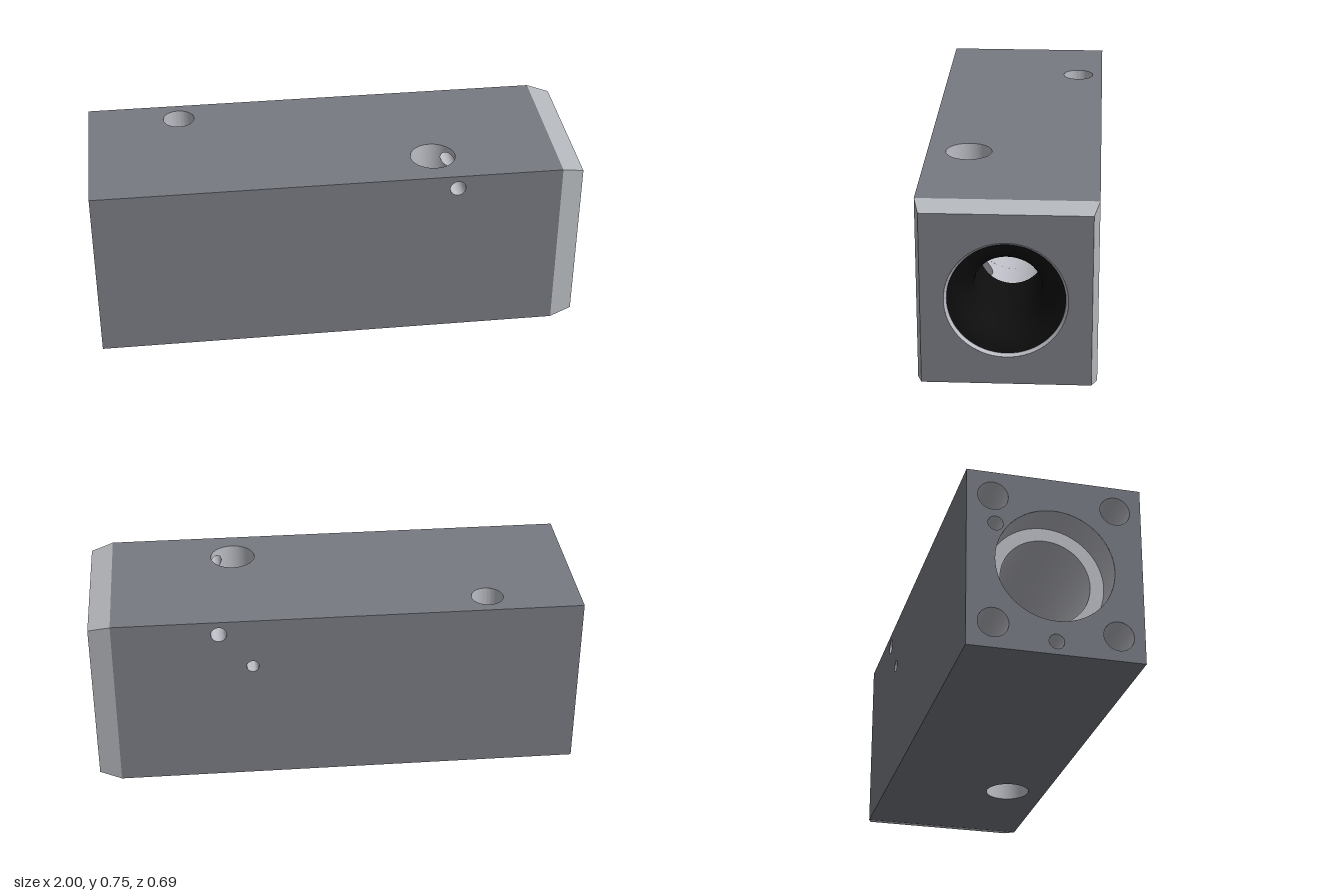
import * as THREE from 'three';
import { toCreasedNormals } from 'three/addons/utils/BufferGeometryUtils.js';

const H = 0.745, C = H / 2, Z = 0.347, XC = 0.91;   // height, bore axis height, half depth, chamfer start
const BORE = 0.18;                                  // main bore radius
const V = { x: 0.402, z: 0.18, r: 0.092 };          // vertical cross hole
const P = { x: 0.48, y: 0.688, r: 0.032 };          // horizontal pin hole
const T = { x: -0.62, z: -0.24, r: 0.065 };         // stepped top hole
const S = { x: 0.347, y: 0.53, r: 0.025 };          // small rear hole
const Q = Math.PI / 2;
const half = (r, d) => Math.sqrt(Math.max(0, r * r - d * d));

export function createModel() {
  const group = new THREE.Group();
  const paint = (color, flatShading = false) =>
    new THREE.MeshStandardMaterial({ color, side: THREE.DoubleSide, flatShading });
  const body = paint(0x777a82);
  const machined = paint(0xbcbdc5);
  const facet = paint(0xb5b8bc, true);
  const black = paint(0x0e0e0e);

  const add = (name, geo, mat) => {
    const mesh = new THREE.Mesh(geo, mat);
    mesh.name = name;
    group.add(mesh);
  };

  // flat rectangle with round holes [u, v, r]
  const plate = (u0, u1, v0, v1, holes) => {
    const s = new THREE.Shape([[u0, v0], [u1, v0], [u1, v1], [u0, v1]].map(p => new THREE.Vector2(...p)));
    for (const [u, v, r] of holes) s.holes.push(new THREE.Path().absarc(u, v, r, 0, Math.PI * 2, true));
    return new THREE.ShapeGeometry(s, 48);
  };

  // turned surface, profile [radius, depth] running down from the mouth
  const turned = (profile) => toCreasedNormals(
    new THREE.LatheGeometry(profile.map(([r, d]) => new THREE.Vector2(r, -d)), 64), 0.5);

  // tube whose two ends follow rules, so crossing holes meet cleanly
  const clippedTube = (r, lo, hi) => {
    const geo = new THREE.CylinderGeometry(r, r, 1, 96, 1, true);
    const p = geo.attributes.position;
    for (let i = 0; i < p.count; i++) {
      p.setY(i, (p.getY(i) > 0 ? hi : lo)(p.getX(i), p.getZ(i)));
    }
    return geo;
  };

  // outer faces
  const ends = [];
  for (const sy of [-1, 1]) for (const sz of [-1, 1]) ends.push([sz * 0.243, C + sy * 0.269]);
  const dowels = [[-0.233, 0.523], [0, 0.053]];

  add('frontFace', plate(-1, XC, 0, H, [[P.x, P.y, P.r]]).translate(0, 0, Z), body);
  add('backFace', plate(-XC, 1, 0, H, [[-P.x, P.y, P.r], [-S.x, S.y, S.r]])
    .rotateY(Math.PI).translate(0, 0, -Z), body);
  add('topFace', plate(-1, XC, -Z, Z, [[V.x, -V.z, V.r], [T.x, -T.z, T.r]])
    .rotateX(-Q).translate(0, H, 0), body);
  add('bottomFace', plate(-1, XC, -Z, Z, [[V.x, V.z, V.r]]).rotateX(Q), body);
  add('boltEndFace', plate(-Z, Z, 0, H, [
    [0, C, 0.235],
    ...ends.map(([z, y]) => [z, y, 0.06]),
    ...dowels.map(([z, y]) => [z, y, 0.03]),
  ]).rotateY(-Q).translate(-1, 0, 0), body);
  const k = 0.936;
  add('linerEndFace', plate(-Z * k, Z * k, C - C * k, C + C * k, [[0, C, 0.235]])
    .rotateY(Q).translate(1, 0, 0), body);

  // chamfered frame around the liner end
  const R4 = Math.SQRT1_2;
  add('endChamfer', new THREE.CylinderGeometry(R4 * k, R4, 1 - XC, 4, 1, true, Math.PI / 4)
    .rotateZ(-Q).scale(1, H, 2 * Z).translate((1 + XC) / 2, C, 0), facet);

  // main bore, left open where the vertical hole breaks in
  const xa = V.x - V.r, xb = V.x + V.r;
  add('boltEndBore', turned([[0.235, 0], [0.235, 0.14], [BORE, 0.14], [BORE, 1 + xa]])
    .rotateZ(Q).translate(-1, C, 0), machined);
  add('linerEndBore', turned([[0.235, 0], [0.225, 0.012], [0.225, 0.45], [BORE, 0.45], [BORE, 1 - xb]])
    .rotateZ(-Q).translate(1, C, 0), machined);
  const strips = new THREE.PlaneGeometry(1, 1, 64, 32);
  const sp = strips.attributes.position;
  for (let i = 0; i < sp.count; i++) {
    const dx = -V.r * Math.cos((sp.getY(i) + 0.5) * Math.PI);
    const gap = Math.acos(Math.min(1, (V.z - half(V.r, dx)) / BORE));
    const a = gap + (sp.getX(i) + 0.5) * (Math.PI * 2 - 2 * gap);
    sp.setXYZ(i, V.x + dx, C + BORE * Math.sin(a), BORE * Math.cos(a));
  }
  strips.computeVertexNormals();
  add('middleBore', strips, machined);

  // vertical cross hole, cut by the bore and the pin hole
  const pinHalf = x => half(P.r, V.x + x - P.x);
  const boreHalf = z => half(BORE, V.z + z);
  [
    [x => P.y + pinHalf(x), () => H],
    [(x, z) => C + boreHalf(z), x => P.y - pinHalf(x)],
    [() => 0, (x, z) => C - boreHalf(z)],
  ].forEach(([lo, hi]) => add('crossHole', clippedTube(V.r, lo, hi).translate(V.x, 0, V.z), machined));

  // horizontal pin hole, cut by the cross hole
  const crossHalf = x => half(V.r, P.x + x - V.x);
  [
    [x => V.z + crossHalf(x), () => Z],
    [() => -Z, x => V.z - crossHalf(x)],
  ].forEach(([lo, hi]) => add('pinHole', clippedTube(P.r, lo, hi).rotateX(Q).translate(P.x, P.y, 0), machined));

  // blind holes
  const blind = (r, d) => turned([[r, 0], [r, d], [0, d + r * 0.5]]);
  add('topPort', turned([[T.r, 0], [T.r, 0.09], [0.033, 0.1], [0.033, 0.16], [0, 0.175]])
    .translate(T.x, H, T.z), machined);
  add('rearHole', blind(S.r, 0.1).rotateX(-Q).translate(S.x, S.y, -Z), machined);
  for (const [z, y] of ends) add('boltHole', blind(0.06, 0.25).rotateZ(Q).translate(-1, y, z), machined);
  for (const [z, y] of dowels) add('dowelHole', blind(0.03, 0.12).rotateZ(Q).translate(-1, y, z), machined);

  // dark liner with a rounded mouth
  add('liner', turned([
    [0.2245, 0.44], [0.2245, 0.012], [0.2, 0.018], [0.18, 0.03], [0.165, 0.045],
    [0.148, 0.075], [0.135, 0.11], [0.129, 0.16], [0.129, 0.44], [0.2245, 0.44],
  ]).rotateZ(-Q).translate(1, C, 0), black);

  return group;
}
